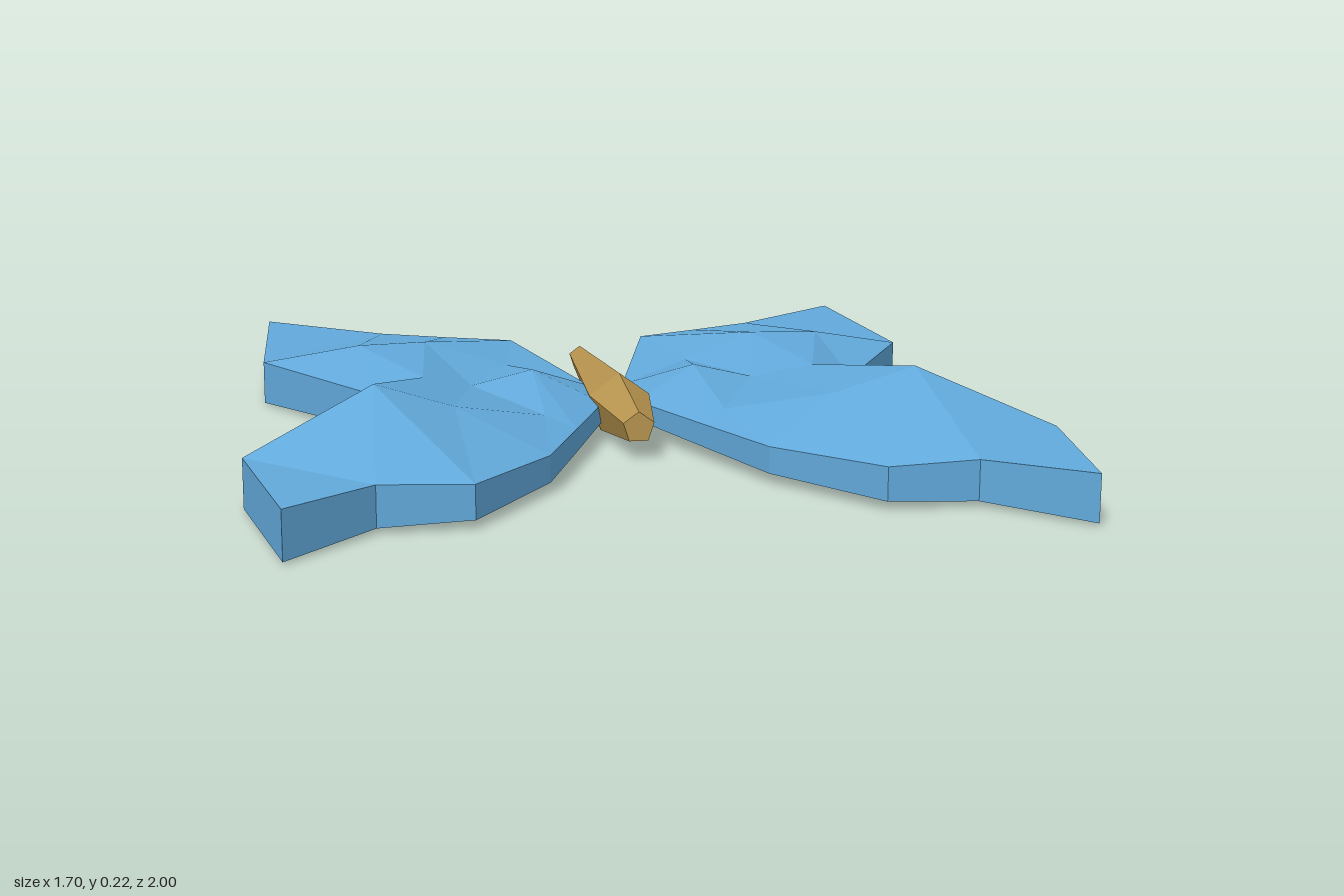
import * as THREE from 'three';

const blue = new THREE.MeshStandardMaterial({ color: 0x62aadc, flatShading: true });
const gold = new THREE.MeshStandardMaterial({ color: 0xb8954f, flatShading: true });

// Wing cross-sections from back to front, each running from body to outer edge: [x, y, z]
const rows = [
  [[.17, .11, -.58], [.17, .11, -.58], [.33, .105, -.68], [.49, .105, -.76], [.78, .105, -1]],
  [[.04, .08, -.12], [.22, .11, -.25], [.41, .155, -.35], [.57, .155, -.33], [.80, .105, -.41]],
  [[.04, .08, .08], [.19, .145, -.01], [.33, .11, -.02], [.45, .155, .09], [.57, .105, 0]],
  [[.14, .08, .34], [.20, .10, .28], [.41, .155, .41], [.58, .217, .45], [.85, .105, .59]],
  [[.23, .08, .57], [.23, .08, .57], [.41, .09, .82], [.60, .097, .82], [.78, .105, 1]],
];

// Faceted sheet with an underside that follows the top, thicker toward the tip
function wingGeometry(side) {
  const n = rows.length, m = rows[0].length, pos = [], index = [];
  const tri = (a, b, c) => index.push(...(side > 0 ? [a, b, c] : [a, c, b]));
  for (const under of [0, 1])
    for (const [x, y, z] of rows.flat())
      pos.push(side * x, under ? Math.max(0, y - .04 - .076 * x) : y, z);

  const under = n * m;
  for (let r = 0; r < n - 1; r++) for (let c = 0; c < m - 1; c++) {
    const a = r * m + c, b = a + 1, d = a + m, e = d + 1;
    // facet diagonals fan away from the waist of the wing
    const faces = r < 2 ? [[a, d, e], [a, e, b]] : [[a, d, b], [b, d, e]];
    for (const [i, j, k] of faces) {
      const p = [i, j, k].map(v => pos.slice(v * 3, v * 3 + 3).join());
      if (new Set(p).size < 3) continue;
      tri(i, j, k);
      tri(i + under, k + under, j + under);
    }
  }

  // Rim around the outline
  const loop = [];
  for (let c = 0; c < m; c++) loop.push(c);
  for (let r = 1; r < n; r++) loop.push(r * m + m - 1);
  for (let c = m - 2; c >= 0; c--) loop.push((n - 1) * m + c);
  for (let r = n - 2; r > 0; r--) loop.push(r * m);
  loop.forEach((i, k) => {
    const j = loop[(k + 1) % loop.length];
    if (pos[i * 3] === pos[j * 3] && pos[i * 3 + 2] === pos[j * 3 + 2]) return;
    tri(i, j, i + under);
    tri(j, j + under, i + under);
  });

  const g = new THREE.BufferGeometry();
  g.setAttribute('position', new THREE.Float32BufferAttribute(pos, 3));
  g.setIndex(index);
  const flat = g.toNonIndexed();
  flat.computeVertexNormals();
  return flat;
}

export function createModel() {
  const model = new THREE.Group();
  model.name = 'butterfly';

  for (const [name, side] of [['leftWing', 1], ['rightWing', -1]]) {
    const wing = new THREE.Mesh(wingGeometry(side), blue);
    wing.name = name;
    model.add(wing);
  }

  // Five-sided tapered body lying along z
  const profile = [[0, -.52], [.028, -.52], [.073, .07], [.036, .32], [0, .32]];
  const body = new THREE.Mesh(
    new THREE.LatheGeometry(profile.map(p => new THREE.Vector2(...p)), 5, Math.PI).rotateX(Math.PI / 2),
    gold);
  body.name = 'body';
  body.position.y = .073;
  model.add(body);

  return model;
}
